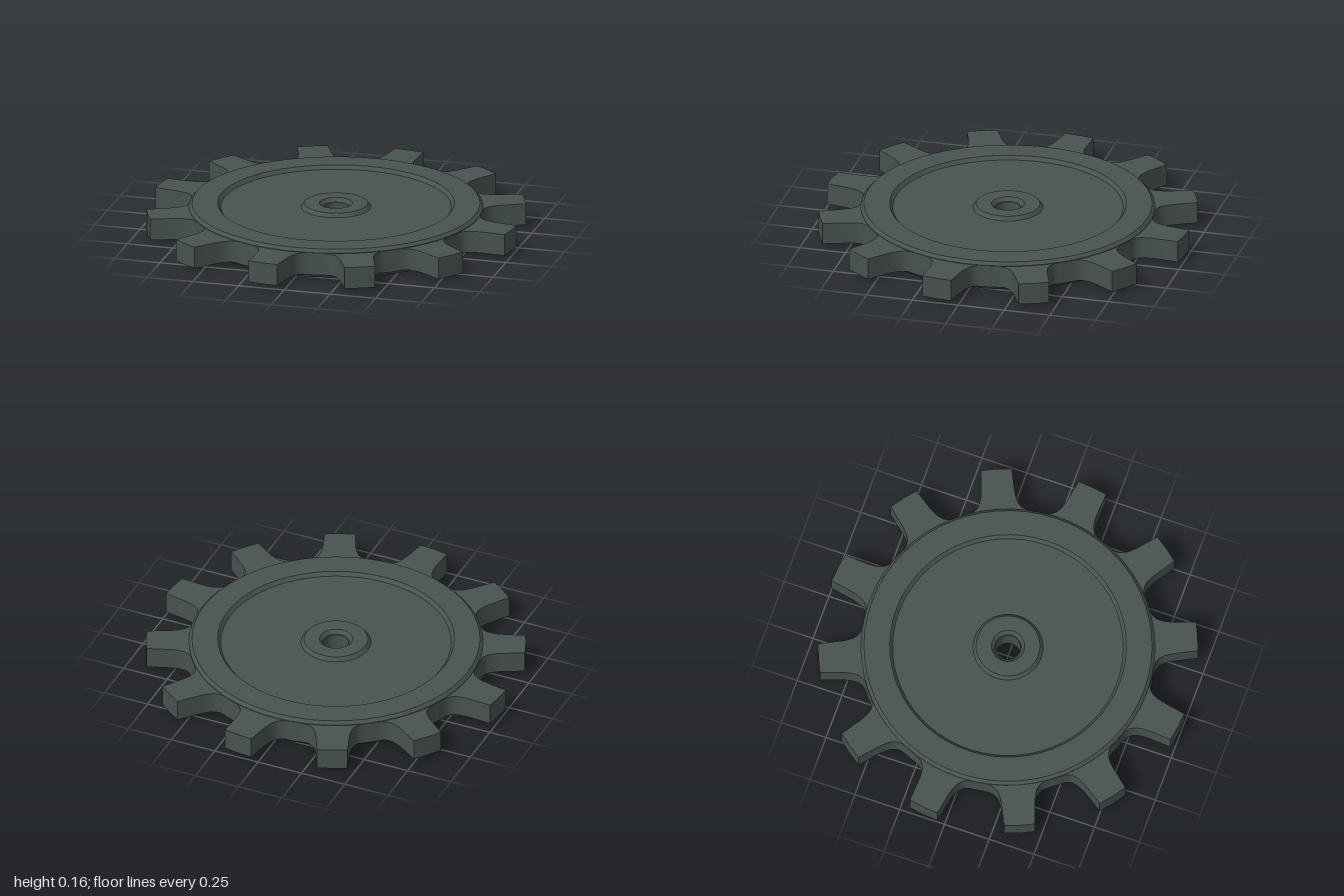
import * as THREE from 'three';
import { toCreasedNormals } from 'three/addons/utils/BufferGeometryUtils.js';

const TEETH = 12;
const PHASE = THREE.MathUtils.degToRad(-6.95);
const HEIGHT = 0.157;

// Half a tooth, as [distance along the tooth axis, half width], from root to tip
const FLANK = [[0.757, 0.165], [0.764, 0.143], [0.775, 0.125], [0.789, 0.112],
  [0.808, 0.102], [0.835, 0.094], [0.865, 0.089], [0.9965, 0.081]];

// Outline of the toothed ring, extruded upright
function toothRing() {
  const points = [];
  const add = (along, side, angle) => points.push(new THREE.Vector2(
    along * Math.cos(angle) - side * Math.sin(angle),
    along * Math.sin(angle) + side * Math.cos(angle)));
  for (let i = 0; i < TEETH; i++) {
    const angle = PHASE + (i / TEETH) * Math.PI * 2;
    FLANK.forEach(([along, side]) => add(along, -side, angle));
    add(1, 0, angle);
    [...FLANK].reverse().forEach(([along, side]) => add(along, side, angle));
    add(0.775, 0, angle + Math.PI / TEETH);
  }
  const shape = new THREE.Shape(points);
  shape.holes.push(new THREE.Path().absarc(0, 0, 0.7, 0, Math.PI * 2, true));
  const geometry = new THREE.ExtrudeGeometry(shape, { depth: 0.117, bevelEnabled: false, curveSegments: 24 });
  geometry.rotateX(-Math.PI / 2).translate(0, 0.02, 0);
  return toCreasedNormals(geometry, 0.6);
}

// Disc with bevelled rim, dished faces, raised hub and countersunk bore
function disc() {
  // [radius, depth below the face], from the bore outwards
  const face = [[0.065, 0.02], [0.07, 0.02], [0.087, 0], [0.168, 0], [0.184, 0.02],
    [0.607, 0.02], [0.623, 0], [0.758, 0], [0.774, 0.017]];
  const bottom = face.map(([r, d]) => new THREE.Vector2(r, d));
  const top = face.map(([r, d]) => new THREE.Vector2(r, HEIGHT - d)).reverse();
  const profile = [...bottom, ...top, bottom[0].clone()];
  return toCreasedNormals(new THREE.LatheGeometry(profile, 60), 0.5);
}

export function createModel() {
  const group = new THREE.Group();
  group.name = 'sprocketWheel';
  const steel = new THREE.MeshStandardMaterial({ color: 0x48524e });
  steel.name = 'dark grey green steel';

  const parts = { toothRing: toothRing(), disc: disc() };
  for (const [name, geometry] of Object.entries(parts)) {
    const mesh = new THREE.Mesh(geometry, steel);
    mesh.name = name;
    group.add(mesh);
  }
  return group;
}
